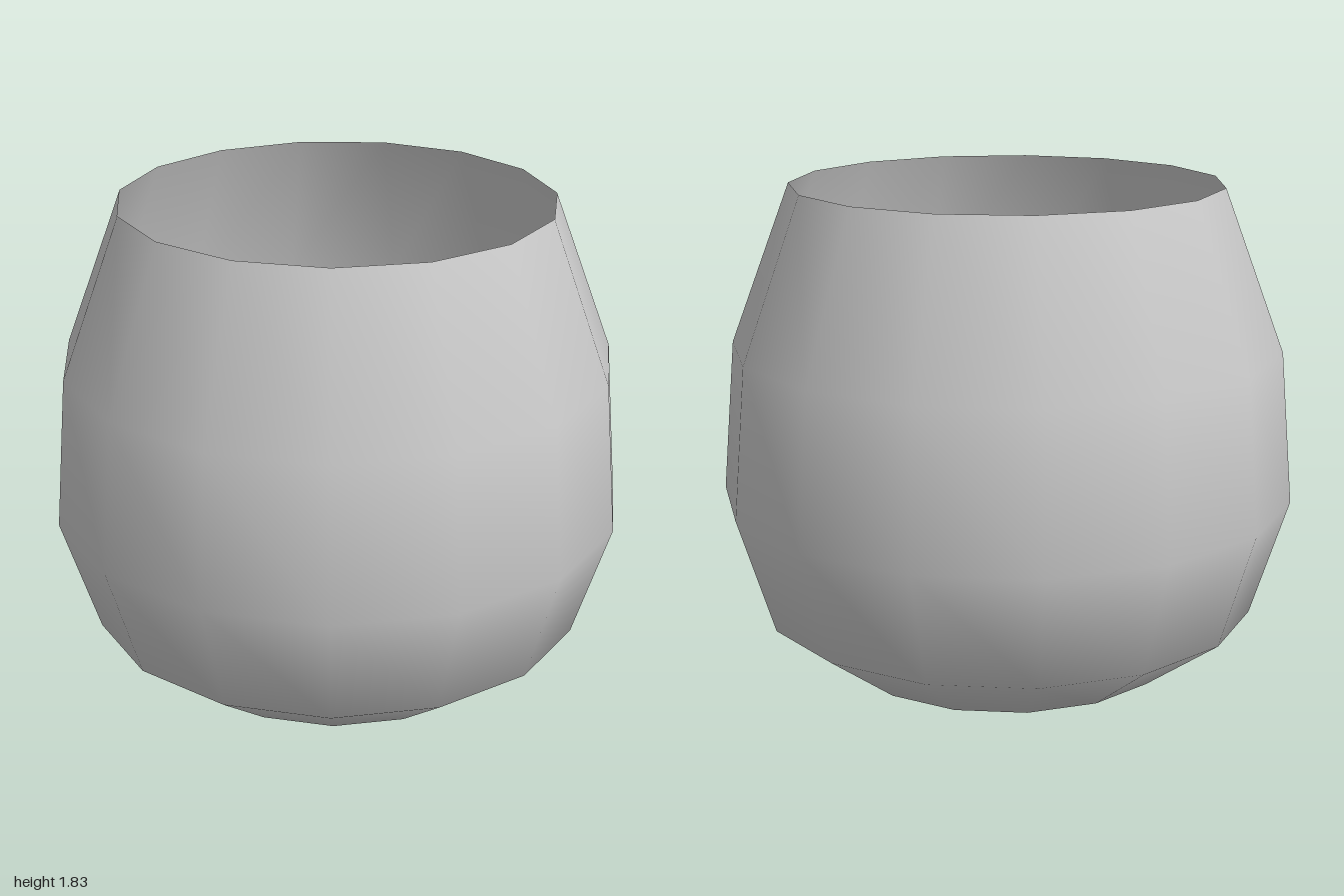
import * as THREE from 'three';

export function createModel() {
  const group = new THREE.Group();
  const sides = 15;

  // Thin wall from the tiny hole in the base up to the open rim: [radius, height]
  const profile = [
    [0.014, 0], [0.21, 0.022], [0.595, 0.12], [0.875, 0.325],
    [1.0055, 0.74], [0.96, 1.27], [0.75, 1.827],
  ].map(([r, y]) => new THREE.Vector2(r, y));

  const bowl = new THREE.Mesh(
    new THREE.LatheGeometry(profile, sides),
    new THREE.MeshStandardMaterial({ color: 0xcccccc, side: THREE.DoubleSide }),
  );
  bowl.name = 'cupBowl';
  // An odd number of sides reaches further forward than back, so recentre it
  bowl.position.z = -1.0055 * (1 - Math.cos(Math.PI / sides)) / 2;
  group.add(bowl);

  return group;
}
